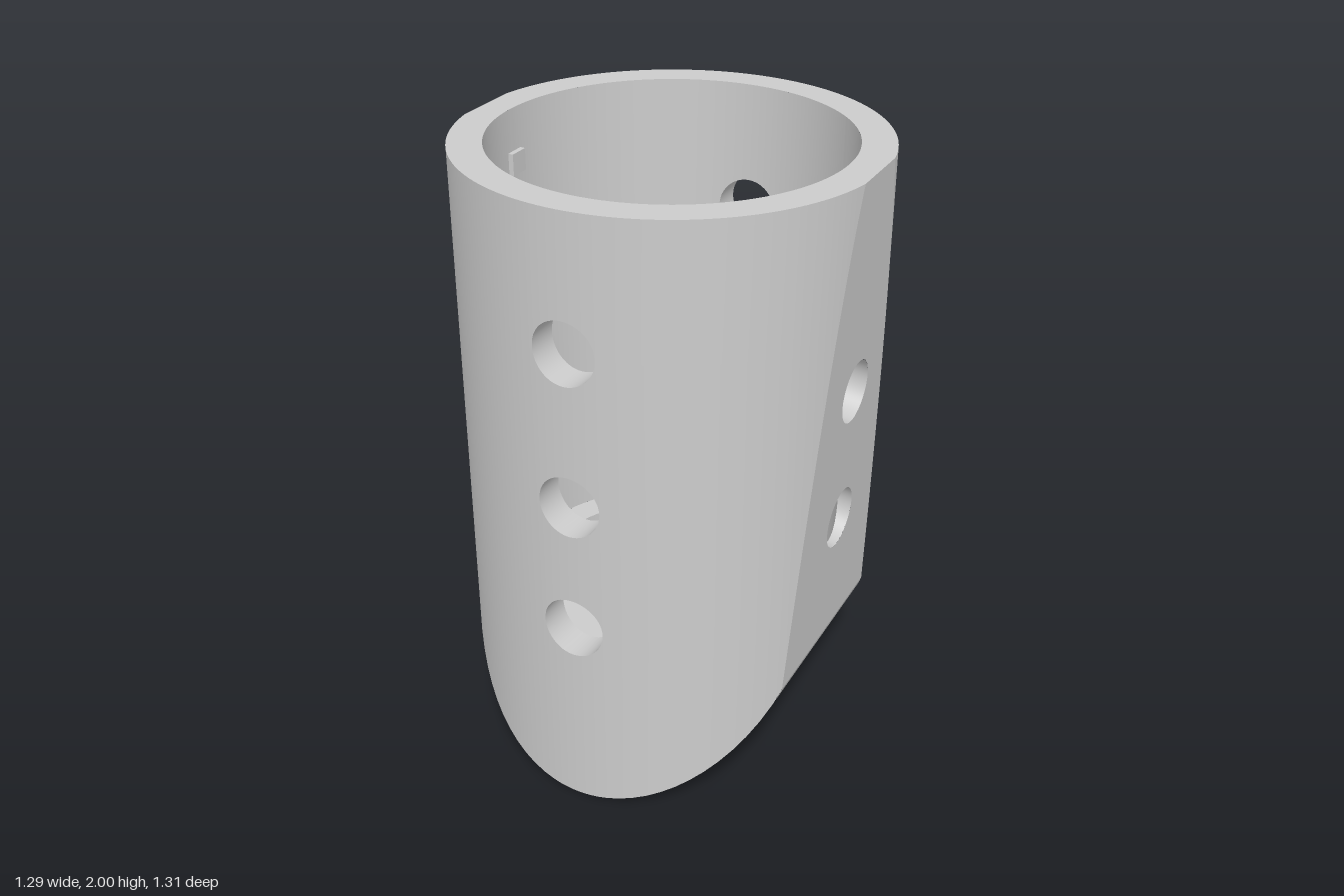
import * as THREE from 'three';
import { toCreasedNormals } from 'three/addons/utils/BufferGeometryUtils.js';

const R = 0.655, BORE = 0.55, HOLE = 0.1, TOP = 2;
const SHOULDER = 0.4, W0 = 0.56, W1 = 0.645;           // half width at the shoulder and at the rim
const SLOPE = (W1 - W0) / (TOP - SHOULDER);
const ARC = (W0 * W0 + SHOULDER * SHOULDER) / (2 * SHOULDER);
const LEDGE = 0.45;

const chord = (r, t) => Math.sqrt(Math.max(0, r * r - t * t));
const clamp = THREE.MathUtils.clamp;
const widthAt = (y) => W0 + (y - SHOULDER) * SLOPE;
const heightAt = (w) => SHOULDER + (w - W0) / SLOPE;
// Lower outline of the front profile: round bottom, then the sloping side
const lower = (x) => (Math.abs(x) <= W0 + 1e-6 ? ARC - chord(ARC, x) : Math.min(TOP, heightAt(Math.abs(x))));

// Turn local (sideways, up, outward) into the quadrant: 0 front, 1 left, 2 back, 3 right
function place(q, t, y, n) {
  const c = [1, 0, -1, 0][q], s = [0, 1, 0, -1][q];
  return new THREE.Vector3(t * c + n * s, y, -t * s + n * c);
}

// Holes of each quadrant; the side bores run at a slight tilt right through
const holeSide = [0, 0.018, 0, -0.018];
function holeHeights(q, n) {
  if (q % 2 === 0) return [0.655, 1.085, 1.58];
  const rise = (q === 1 ? 0.59 - n : 0.59 + n) * SLOPE;
  return [0.838 + rise, 1.294 + rise];
}

const range = (n, f) => Array.from({ length: n + 1 }, (_, i) => f(i / n));

// Surface from neighbouring columns, each a list of [low, high] point pairs
function strip(columns) {
  const pos = [], e1 = new THREE.Vector3(), e2 = new THREE.Vector3();
  const tri = (a, b, c) => {
    if (e1.subVectors(b, a).cross(e2.subVectors(c, a)).length() < 1e-9) return;
    for (const p of [a, b, c]) pos.push(p.x, p.y, p.z);
  };
  for (let i = 0; i + 1 < columns.length; i++) {
    columns[i].forEach(([lo, hi], k) => {
      const [lo2, hi2] = columns[i + 1][k];
      tri(lo, lo2, hi2);
      tri(lo, hi2, hi);
    });
  }
  const g = new THREE.BufferGeometry();
  g.setAttribute('position', new THREE.Float32BufferAttribute(pos, 3));
  return toCreasedNormals(g, 0.5);
}

// Column positions: even angles on radius r, extra marks, and fine steps over the holes
function columnsFor(q, r, max, marks = []) {
  const a = Math.asin(max / r), c = holeSide[q];
  const even = range(40, (f) => r * Math.sin(a * (2 * f - 1)));
  const fine = range(24, (f) => c + HOLE * Math.sin(Math.PI * (f - 0.5)));
  const all = [...even.filter((t) => Math.abs(t - c) > HOLE + 0.004), ...fine, ...marks, ...marks.map((m) => -m)];
  return all.sort((p, s) => p - s);
}

// Wall panel with its holes left open
function panel(q, cols, depth, low, high) {
  return cols.map((t) => {
    const half = chord(HOLE, t - holeSide[q]);
    const lo = low(t), hi = high(t);
    const mid = holeHeights(q, depth(t, 1));
    const ys = [lo, ...mid.flatMap((y) => [y - half, y + half]), hi].map((y) => clamp(y, lo, hi));
    const pairs = [];
    for (let i = 0; i < ys.length; i += 2) {
      pairs.push([ys[i], ys[i + 1]].map((y) => place(q, t, y, depth(t, y))));
    }
    return pairs;
  });
}

export function createModel() {
  const group = new THREE.Group();
  const material = new THREE.MeshStandardMaterial({ color: 0xcccccc });
  const add = (name, geometry) => {
    const mesh = new THREE.Mesh(geometry, material);
    mesh.name = name;
    group.add(mesh);
    return mesh;
  };
  const names = ['front', 'left', 'back', 'right'];
  const flatMax = chord(R, W0), flatTop = chord(R, W1);

  names.forEach((name, q) => {
    const round = q % 2 === 0;
    const outer = round ? (t) => chord(R, t) : (t, y) => widthAt(y);
    const inner = (t) => chord(BORE, t);

    // Outer wall: curved at front and back, sloping flats at the sides
    if (round) {
      add(name + 'Wall', strip(panel(q, columnsFor(q, R, W1, [W0]), outer, lower, () => TOP)));
    } else {
      const high = (t) => clamp(heightAt(chord(R, t)), SHOULDER, TOP);
      add(name + 'Flat', strip(panel(q, columnsFor(q, R, flatMax, [flatTop]), outer, () => SHOULDER, high)));
    }

    // Quarter of the bore, facing inward
    const boreCols = columnsFor(q, BORE, BORE * Math.SQRT1_2).reverse();
    add(name + 'Bore', strip(panel(q, boreCols, inner, () => LEDGE, () => TOP)));

    // Linings of the round holes
    holeHeights(q, 0.59).forEach((_, k) => {
      const ring = range(48, (f) => {
        const t = holeSide[q] + HOLE * Math.cos(f * 2 * Math.PI);
        const dy = HOLE * Math.sin(f * 2 * Math.PI);
        const nOut = outer(t, holeHeights(q, 0.59)[k] + dy), nIn = inner(t);
        return [[nOut, nIn].map((n) => place(q, t, holeHeights(q, n)[k] + dy, n))];
      });
      add(name + 'HoleLining', strip(ring));
    });
  });

  // Rounded underside
  const arcAngle = Math.asin(W0 / ARC);
  add('underside', strip(range(48, (f) => {
    const x = ARC * Math.sin(arcAngle * (2 * f - 1)), z = chord(R, x);
    return [[new THREE.Vector3(x, lower(x), -z), new THREE.Vector3(x, lower(x), z)]];
  })));

  // Flat rim, trimmed at the two sides
  const turn = (a, r, y) => new THREE.Vector3(r * Math.sin(a), y, r * Math.cos(a));
  add('rim', strip(range(144, (f) => {
    const a = f * 2 * Math.PI;
    const r = Math.min(R, W1 / Math.max(1e-6, Math.abs(Math.sin(a))));
    return [[turn(a, r, TOP), turn(a, BORE, TOP)]];
  })));

  // Stepped floor of the bore
  const steps = [[BORE, LEDGE], [0.46, LEDGE], [0.46, 0.35], [0.4, 0.35], [0.4, 0.28], [0, 0.28]];
  add('steppedFloor', strip(range(96, (f) =>
    steps.slice(1).map((s, i) => [steps[i], s].map(([r, y]) => turn(f * 2 * Math.PI, r, y))))));

  // Small square tabs inside the mouth
  for (const side of [1, -1]) {
    const tab = add('tab', new THREE.BoxGeometry(0.025, 0.07, 0.07));
    tab.position.set(side * 0.545, 1.83, 0);
  }
  return group;
}
